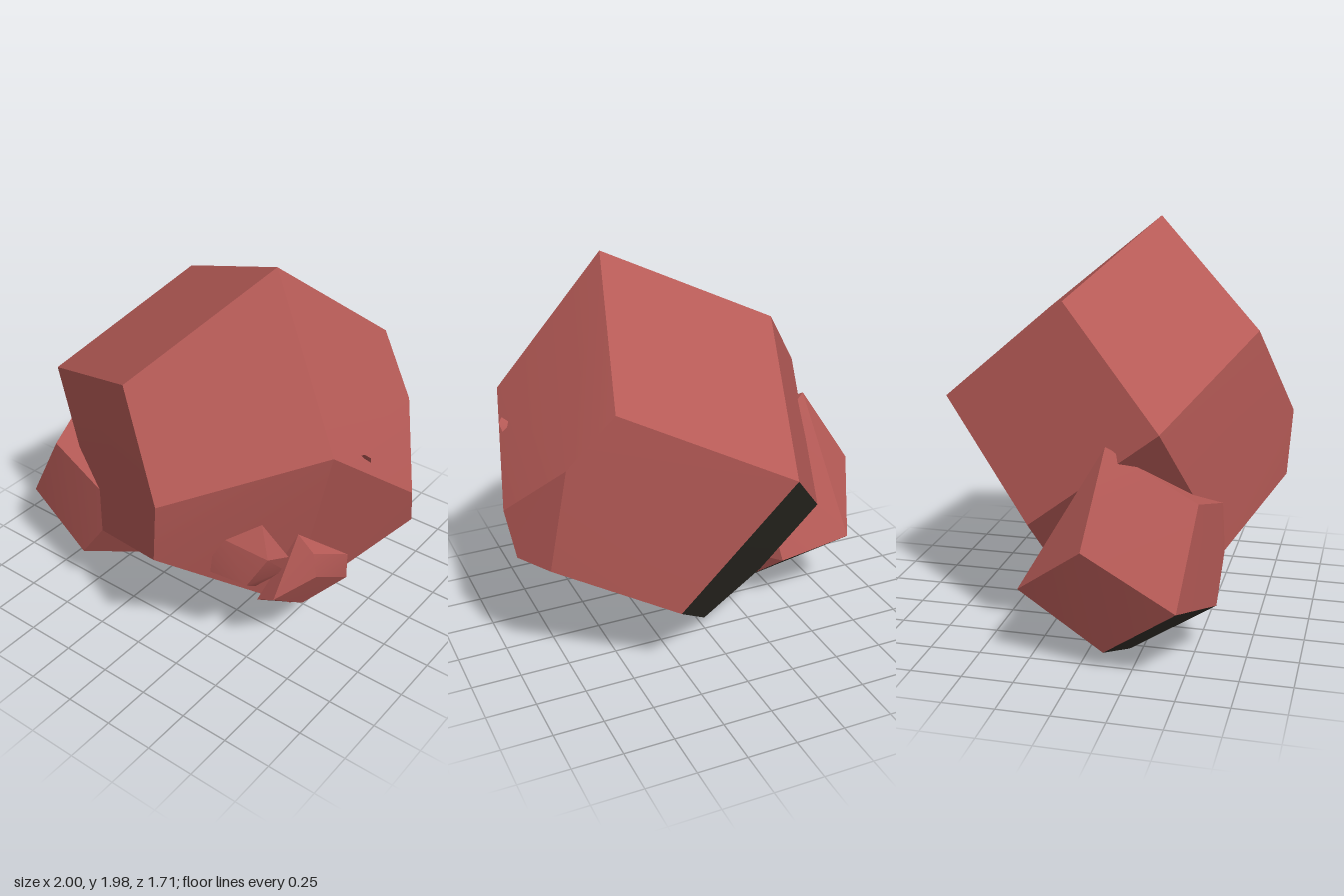
import * as THREE from 'three';
import { ConvexGeometry } from 'three/addons/geometries/ConvexGeometry.js';
import { toCreasedNormals } from 'three/addons/utils/BufferGeometryUtils.js';

const red = new THREE.MeshStandardMaterial({ color: 0xb55a56 });
const dark = new THREE.MeshStandardMaterial({ color: 0x35322b });
const wine = new THREE.MeshStandardMaterial({ color: 0x6b1a2c });

// Faceted crystal: hull of its corners; faces whose normal passes isDark get the dark material
function crystal(name, corners, isDark = () => false, material = red) {
  const hull = new ConvexGeometry(corners.map(c => new THREE.Vector3(...c)));
  const pos = hull.attributes.position;
  const sides = [[], []];
  const tri = new THREE.Triangle(), n = new THREE.Vector3();
  for (let i = 0; i < pos.count; i += 3) {
    tri.setFromAttributeAndIndices(pos, i, i + 1, i + 2);
    tri.getNormal(n);
    const list = sides[isDark(n) ? 1 : 0];
    for (const p of [tri.a, tri.b, tri.c]) list.push(p.x, p.y, p.z);
  }
  const group = new THREE.Group();
  group.name = name;
  [material, dark].forEach((mat, k) => {
    if (!sides[k].length) return;
    const g = new THREE.BufferGeometry();
    g.setAttribute('position', new THREE.Float32BufferAttribute(sides[k], 3));
    const mesh = new THREE.Mesh(toCreasedNormals(g, 0.3), mat);
    mesh.name = name + (k ? 'DarkFaces' : 'Faces');
    group.add(mesh);
  });
  return group;
}

export function createModel() {
  const model = new THREE.Group();
  model.name = 'crystalCluster';

  // Large twelve-sided crystal with a cut base and a bevelled right shoulder
  model.add(crystal('mainCrystal', [
    [0.38, 1.98, 0.14], [-0.37, 1.65, -0.18], [-0.05, 1.49, 0.71], [-0.81, 1.16, 0.38],
    [0.57, 1.44, -0.53], [-0.18, 1.11, -0.85], [0.86, 1.28, 0.36], [0.25, 1.03, 0.86],
    [0.21, 0.7, 0.84], [-0.34, 0.47, 0.61], [-0.62, 0.62, -0.29],
    [0.78, 1.17, -0.44], [1.0, 0.87, -0.14], [0.97, 0.65, -0.22], [0.86, 0.64, -0.39],
    [0.3, 0.4, -0.63], [0, 0.06, -0.24], [-0.36, 0.23, -0.17], [0.18, 0.06, 0.07], [0.6, 0.25, 0.27],
  ], n => n.y < -0.42 && n.z < 0.45 && n.x > -0.7));

  // Smaller crystal growing from the lower right side
  model.add(crystal('sideCrystal', [
    [-0.74, 1.07, 0.12], [-1, 0.66, 0.07], [-0.95, 0.39, 0.49], [-0.7, 0.82, 0.54],
    [-0.82, 0.38, -0.28], [-0.79, 0.09, 0.12], [-0.54, 0, 0.19], [-0.33, 0.02, 0.07],
    [-0.45, 0.3, -0.25], [-0.5, 0.25, 0.6], [-0.34, 0.47, 0.61], [-0.34, 0.71, 0.6],
    [-0.15, 0.22, 0.3], [-0.4, 0.8, 0],
  ], n => n.y < -0.5));

  // Two small crystals on the left front face
  model.add(crystal('upperBud', [
    [0.49, 0.84, 0.66], [0.61, 0.91, 0.54], [0.7, 0.71, 0.45], [0.67, 0.6, 0.43],
    [0.55, 0.49, 0.5], [0.41, 0.62, 0.67], [0.43, 0.73, 0.68], [0.66, 0.74, 0.56],
    [0.57, 0.57, 0.6], [0.45, 0.7, 0.5],
  ]));
  model.add(crystal('lowerBud', [
    [0.71, 0.81, 0.39], [0.78, 0.71, 0.36], [0.85, 0.62, 0.17], [0.84, 0.46, 0.15],
    [0.69, 0.32, 0.3], [0.56, 0.41, 0.5], [0.67, 0.48, 0.52], [0.8, 0.58, 0.36], [0.6, 0.6, 0.3],
  ]));

  // Tiny chips: one on the left face, one wedged under the base
  model.add(crystal('sideChip', [
    [0.9, 1.21, 0.16], [0.92, 1.19, 0.14], [0.91, 1.15, 0.12], [0.86, 1.18, 0.14],
  ]));
  model.add(crystal('baseChip', [
    [-0.24, 0.2, -0.1], [-0.2, 0.09, -0.1], [-0.12, 0.13, -0.08], [-0.15, 0.24, -0.1],
    [-0.18, 0.15, 0], [-0.18, 0.17, -0.18],
  ], undefined, wine));

  return model;
}
